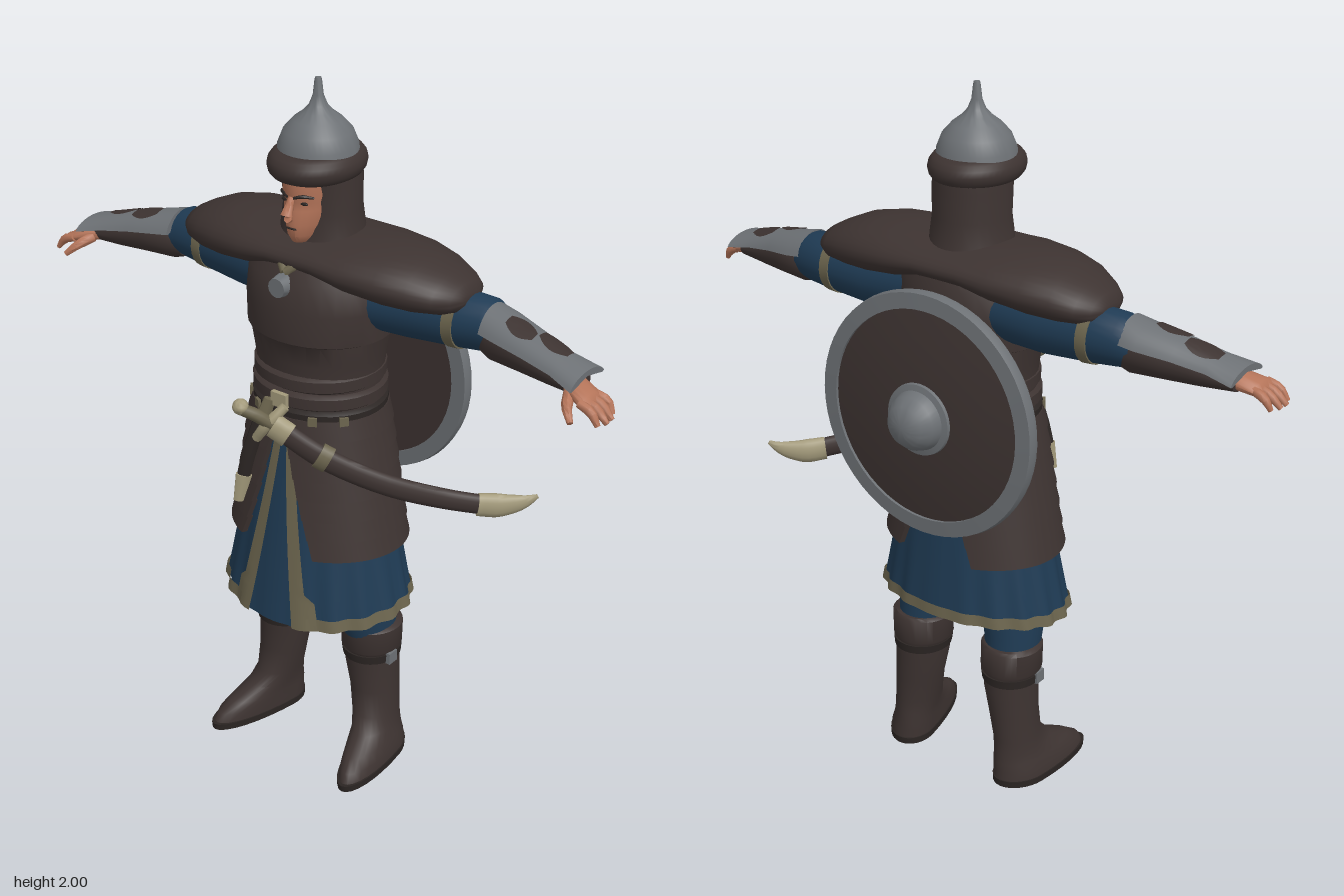
import * as THREE from 'three';
import { toCreasedNormals } from 'three/addons/utils/BufferGeometryUtils.js';

const V = (x, y, z) => new THREE.Vector3(x, y, z);
const PI = Math.PI;
const mix = THREE.MathUtils.lerp;

// Surface through rings of points; closed rings are capped at both ends
function loft(rings, closed = true) {
  const n = rings[0].length, pos = [], idx = [];
  rings.forEach(r => r.forEach(p => pos.push(p.x, p.y, p.z)));
  const cols = closed ? n : n - 1;
  for (let i = 0; i < rings.length - 1; i++) for (let j = 0; j < cols; j++) {
    const a = i * n + j, b = i * n + (j + 1) % n;
    idx.push(a, b, a + n, b, b + n, a + n);
  }
  if (closed) [0, rings.length - 1].forEach(i => {
    const c = V(0, 0, 0), m = pos.length / 3;
    rings[i].forEach(p => c.addScaledVector(p, 1 / n));
    pos.push(c.x, c.y, c.z);
    for (let j = 0; j < n; j++) {
      const a = i * n + j, b = i * n + (j + 1) % n;
      if (i) idx.push(a, b, m); else idx.push(b, a, m);
    }
  });
  const g = new THREE.BufferGeometry();
  g.setAttribute('position', new THREE.Float32BufferAttribute(pos, 3));
  g.setIndex(idx);
  g.computeVertexNormals();
  return g;
}
const turn = (n, f) => Array.from({ length: n }, (_, i) => f(i / n * 2 * PI));
const arc = (n, a, b, f) => Array.from({ length: n + 1 }, (_, i) => f(mix(a, b, i / n)));
const slab = (n, a, b, f, t) => [...arc(n, a, b, v => f(v, t)), ...arc(n, b, a, v => f(v, 0))];

// Stack of level rings [y, halfWidth, front, back, cx, cz, toeOut]
const stack = (rows, n = 32) => loft(rows.map(([y, rx, zf, zb, cx = 0, cz = 0, toe = 0]) =>
  turn(n, a => {
    const c = Math.cos(a), z = c * (c > 0 ? zf : zb);
    return V(cx + rx * Math.sin(a) + toe * z, y, cz + z);
  })));
// Upright rings along x: [x, cy, cz, ry, rz]
const xPoint = ([x, cy, cz, ry, rz], a, t = 0) => V(x, cy - (ry + t) * Math.sin(a), cz + (rz + t) * Math.cos(a));
const along = (rows, n = 24) => loft(rows.map(r => turn(n, a => xPoint(r, a))));
// Tapered tube through points
function limb(pts, radii, steps = 8, n = 12, flat = 1) {
  const curve = new THREE.CatmullRomCurve3(pts.map(p => V(...p)));
  const f = curve.computeFrenetFrames(steps, false);
  return loft(Array.from({ length: steps + 1 }, (_, i) => {
    const t = i / steps, k = t * (radii.length - 1), j = Math.min(Math.floor(k), radii.length - 2);
    const r = mix(radii[j], radii[j + 1], k - j), p = curve.getPointAt(t);
    // broad side kept upright
    const side = V(0, 1, 0).cross(f.tangents[i]).normalize(), up = f.tangents[i].clone().cross(side);
    return turn(n, a => p.clone().addScaledVector(side, r * flat * Math.cos(a)).addScaledVector(up, r * Math.sin(a)));
  }));
}
const lathe = (pts, n = 40) => new THREE.LatheGeometry(pts.map(p => new THREE.Vector2(...p)), n);
const ball = (x, y, z, sx, sy, sz) => new THREE.SphereGeometry(1, 16, 10).scale(sx, sy, sz).translate(x, y, z);

export function createModel() {
  const model = new THREE.Group();
  model.name = 'warrior';
  const mat = (name, color) => {
    const m = new THREE.MeshStandardMaterial({ color, side: THREE.DoubleSide });
    m.name = name;
    return m;
  };
  const leather = mat('brownLeather', 0x3d3331), dark = mat('darkLeather', 0x2b2523), cloth = mat('blueCloth', 0x1f3b54),
    trim = mat('khakiTrim', 0x6c654e), horn = mat('paleHorn', 0xa39a7b), steel = mat('steel', 0x6d7175), skin = mat('skin', 0xb47459);

  function add(name, geo, material, both = false) {
    const put = (g, label) => {
      const m = new THREE.Mesh(toCreasedNormals(g, 0.8), material);
      m.name = label;
      model.add(m);
    };
    if (!both) return put(geo, name);
    const g = geo.clone().scale(-1, 1, 1), ix = g.index.array;
    for (let i = 0; i < ix.length; i += 3) [ix[i], ix[i + 1]] = [ix[i + 1], ix[i]];
    put(geo, name + 'Left');
    put(g, name + 'Right');
  }

  // Helmet, fur brim and hood
  add('helmet', lathe([[0.108, 1.79], [0.104, 1.83], [0.09, 1.865], [0.065, 1.893], [0.04, 1.912], [0.024, 1.93],
    [0.014, 1.955], [0.01, 1.99], [0.008, 2], [0, 2]]).translate(0, 0, 0.01), steel);
  const fur = new THREE.TorusGeometry(0.1, 0.036, 14, 48).rotateX(PI / 2).scale(0.89, 1, 1.05).translate(0, 1.785, 0.013);
  add('furBrim', fur, leather);
  add('hood', stack([[1.55, 0.125, 0.1, 0.14], [1.6, 0.114, 0.088, 0.125], [1.66, 0.106, 0.082, 0.118],
    [1.74, 0.106, 0.09, 0.118], [1.8, 0.1, 0.1, 0.115]]), leather);

  // Face
  add('face', stack([[1.578, 0.02, 0.085, 0.02], [1.59, 0.038, 0.11, 0.02], [1.61, 0.05, 0.122, 0.02], [1.64, 0.062, 0.124, 0.02],
    [1.68, 0.071, 0.122, 0.02], [1.7, 0.073, 0.117, 0.02], [1.72, 0.075, 0.126, 0.02], [1.78, 0.075, 0.12, 0.02]]), skin);
  add('nose', limb([[0, 1.715, 0.118], [0, 1.69, 0.13], [0, 1.668, 0.14], [0, 1.655, 0.125]], [0.008, 0.011, 0.016, 0.008], 6, 8), skin);
  add('eye', ball(0.029, 1.7, 0.107, 0.013, 0.005, 0.005), dark, true);
  add('brow', limb([[0.01, 1.716, 0.125], [0.03, 1.722, 0.117], [0.052, 1.716, 0.094]], [0.004, 0.005, 0.003], 6, 6), dark, true);
  add('mouth', ball(0, 1.631, 0.122, 0.018, 0.003, 0.004), dark);
  add('collar', limb([[0.07, 1.575, 0.09], [0.04, 1.55, 0.12], [0, 1.52, 0.15]], [0.01, 0.012, 0.012], 6, 8), trim, true);

  // Quilted shoulder mantle with clasp
  const half = [[0.45, 1.505, -0.035, 0.015, 0.04], [0.435, 1.508, -0.035, 0.036, 0.075], [0.4, 1.512, -0.032, 0.052, 0.105],
    [0.34, 1.523, -0.026, 0.068, 0.133], [0.26, 1.532, -0.023, 0.075, 0.155], [0.16, 1.54, -0.02, 0.07, 0.168], [0.07, 1.548, -0.02, 0.055, 0.168]];
  add('mantle', along([...half.map(([x, ...r]) => [-x, ...r]), ...half.slice().reverse()], 32), leather);
  add('clasp', new THREE.CylinderGeometry(0.026, 0.032, 0.035, 20).rotateX(PI / 2).translate(0, 1.487, 0.168), steel);

  // Cuirass and waist belts
  add('cuirass', stack([[1.1, 0.183, 0.163, 0.163], [1.2, 0.176, 0.155, 0.16], [1.27, 0.184, 0.165, 0.168], [1.33, 0.195, 0.172, 0.172],
    [1.335, 0.204, 0.178, 0.18], [1.42, 0.205, 0.18, 0.182], [1.5, 0.2, 0.165, 0.178], [1.56, 0.15, 0.12, 0.15], [1.6, 0.09, 0.08, 0.12]]), leather);
  [[1.215, 0.182, leather], [1.165, 0.188, leather], [1.118, 0.19, dark]].forEach(([y, r, m], i) =>
    add('belt' + (i + 1), stack([[y - 0.024, r - 0.012, 0.16, 0.16], [y - 0.015, r, 0.173, 0.172], [y + 0.015, r, 0.173, 0.172],
      [y + 0.024, r - 0.012, 0.16, 0.16]]), m));
  add('beltBuckle', new THREE.BoxGeometry(0.05, 0.04, 0.014).translate(0, 1.165, 0.176), horn);
  [0.5, -0.5, 0.95, -0.95].forEach((a, i) => add('beltStud' + i,
    new THREE.BoxGeometry(0.024, 0.024, 0.01).rotateY(a).translate(0.192 * Math.sin(a), 1.118, 0.175 * Math.cos(a)), trim));

  // Tunic skirt: point at height t (0 top, 1 hem) and angle a
  const skirt = (t, a, off = 0) => {
    const c = Math.cos(a), s = Math.sin(a), fold = 1 + 0.022 * t * t * Math.cos(18 * a) * Math.min(1, 2 * Math.abs(s));
    const rx = mix(0.165, 0.278, t), z = c * (c > 0 ? mix(0.145, 0.232, t) : mix(0.145, 0.195, t));
    return V((rx * fold + off) * s, mix(1.1, 0.525, t) - 0.1 * t * z, z * fold + off * c);
  };
  const skirtBand = (t0, t1, edge, n, rows = 1) => loft(arc(rows, t1, t0, t => arc(n, ...edge(t), a => skirt(t, a, 0.006))), false);
  add('tunicSkirt', loft(arc(14, 1, 0, t => arc(128, 0, 2 * PI, a => skirt(t, a))), false), cloth);
  add('hemTrim', skirtBand(0.945, 1.003, () => [0.42, 2 * PI - 0.42], 112), trim);
  add('slitTrim', skirtBand(0.12, 1.003, t => [0.02 + 0.25 * t, 0.15 + 0.3 * t + (t > 0.85 ? 0.1 : 0)], 4, 20), trim, true);

  // Lamellar side panels, open in front and behind
  const panelRing = (y, step) => {
    const t = (1.12 - y) / 0.4, g = 0.06 + 0.42 * t;
    return slab(28, g, PI - g, (a, th) => {
      const c = Math.cos(a);
      return V((mix(0.176, 0.247, t) + th + step) * Math.sin(a), y, c * (mix(0.16, c > 0 ? 0.202 : 0.187, t) + th + step));
    }, 0.016);
  };
  const rows = [];
  for (let i = 0; i < 7; i++) {
    const y = 0.72 + i * 0.057;
    rows.push(panelRing(y, 0.004), panelRing(y + 0.055, -0.001));
  }
  add('skirtPanel', loft(rows), leather, true);

  // Trousers and boots
  add('trouserLeg', stack([[0.38, 0.072, 0.075, 0.08, 0.155, -0.03], [0.47, 0.082, 0.09, 0.085, 0.15, -0.02],
    [0.6, 0.092, 0.1, 0.095, 0.135, -0.01], [0.85, 0.095, 0.11, 0.11, 0.1, 0]]), cloth, true);
  add('boot', stack([[0.018, 0.066, 0.235, 0.088, 0.197, -0.035, 0.16], [0.045, 0.066, 0.22, 0.086, 0.195, -0.035, 0.16],
    [0.07, 0.062, 0.18, 0.084, 0.19, -0.035, 0.15], [0.1, 0.06, 0.115, 0.08, 0.185, -0.035, 0.1], [0.14, 0.062, 0.08, 0.078, 0.177, -0.035],
    [0.22, 0.068, 0.073, 0.08, 0.168, -0.037], [0.3, 0.076, 0.078, 0.083, 0.158, -0.037], [0.36, 0.079, 0.083, 0.083, 0.155, -0.037]]), leather, true);
  add('sole', stack([[0, 0.068, 0.243, 0.09, 0.197, -0.035, 0.16], [0.02, 0.069, 0.245, 0.091, 0.197, -0.035, 0.16]]), dark, true);
  add('bootCuff', stack([[0.35, 0.08, 0.084, 0.084, 0.156, -0.037], [0.36, 0.086, 0.09, 0.087, 0.156, -0.037],
    [0.43, 0.087, 0.09, 0.087, 0.157, -0.037], [0.438, 0.078, 0.08, 0.08, 0.157, -0.037]]), leather, true);
  add('bootStrap', stack([[0.325, 0.081, 0.086, 0.087, 0.157, -0.037], [0.35, 0.084, 0.089, 0.089, 0.156, -0.037]]), dark, true);
  add('bootBuckle', new THREE.BoxGeometry(0.014, 0.035, 0.035).translate(0.238, 0.34, -0.02), steel, true);

  // Arms
  add('sleeve', along([[0.12, 1.44, -0.03, 0.09, 0.1], [0.28, 1.435, -0.045, 0.085, 0.085], [0.42, 1.438, -0.05, 0.076, 0.074],
    [0.5, 1.442, -0.052, 0.07, 0.068], [0.54, 1.435, -0.045, 0.058, 0.058]]), cloth, true);
  add('sleeveBand', along([[0.4, 1.438, -0.05, 0.081, 0.079], [0.43, 1.438, -0.05, 0.079, 0.077]]), trim, true);
  add('forearm', along([[0.5, 1.42, -0.045, 0.05, 0.05], [0.53, 1.422, -0.042, 0.061, 0.064], [0.62, 1.418, -0.028, 0.057, 0.06],
    [0.71, 1.403, -0.012, 0.043, 0.048], [0.8, 1.392, 0.003, 0.028, 0.042]]), leather, true);
  const guard = [[0.515, 1.425, -0.04, 0.076, 0.068], [0.56, 1.423, -0.036, 0.066, 0.072], [0.65, 1.413, -0.02, 0.056, 0.064],
    [0.74, 1.4, -0.006, 0.044, 0.058], [0.815, 1.39, 0.004, 0.034, 0.076]];
  const guardRing = (r, spread, t) => slab(14, -PI / 2 - spread, -PI / 2 + spread, (a, th) => xPoint(r, a, th), t);
  add('armGuard', loft(guard.map(r => guardRing(r, 1.25, 0.008))), steel, true);
  const at = x => {
    const i = Math.max(1, guard.findIndex(r => r[0] >= x)), p = guard[i - 1], q = guard[i];
    return p.map((v, k) => mix(v, q[k], (x - p[0]) / (q[0] - p[0])));
  };
  // Bare leather patches on the guards
  [[0.575, 0.66, 0.25, 0.42], [0.665, 0.755, -0.15, 0.5]].forEach(([x0, x1, mid, w], k) =>
    add('guardPatch' + k, loft(arc(6, x0, x1, x => {
      const s = w * Math.sin(PI * (0.15 + 0.7 * (x - x0) / (x1 - x0)));
      return arc(8, -PI / 2 + mid - s, -PI / 2 + mid + s, a => xPoint(at(x), a, 0.011));
    }), false), leather, true));

  // Hands
  add('palm', along([[0.77, 1.39, 0.008, 0.022, 0.032], [0.8, 1.386, 0.018, 0.023, 0.042], [0.845, 1.373, 0.034, 0.019, 0.047],
    [0.86, 1.367, 0.038, 0.01, 0.042]], 16), skin, true);
  [[0.888, -0.004], [0.902, 0.022], [0.904, 0.048], [0.893, 0.073]].forEach(([x, z], i) =>
    add('finger' + (i + 1), limb([[0.835, 1.377, z * 0.9 + 0.004], [0.87, 1.364, z], [x, 1.335, z + 0.004]], [0.012, 0.0125, 0.007], 5, 8), skin, true));
  add('thumb', limb([[0.79, 1.38, 0.04], [0.81, 1.363, 0.085], [0.835, 1.338, 0.108]], [0.016, 0.014, 0.008], 5, 8), skin, true);

  // Round shield on the back
  const onBack = g => g.rotateX(-PI / 2 + 0.03).translate(0, 1.155, -0.197);
  add('shieldBoard', onBack(lathe([[0, 0], [0.31, 0], [0.31, 0.02], [0.22, 0.036], [0.12, 0.045], [0, 0.048]], 56)), leather);
  add('shieldRim', onBack(lathe([[0.295, -0.006], [0.338, -0.006], [0.342, 0.01], [0.338, 0.028], [0.295, 0.031], [0.295, -0.006]], 56)), steel);
  add('shieldBoss', onBack(lathe([[0.1, 0.044], [0.098, 0.054], [0.082, 0.058], [0.074, 0.085], [0.055, 0.11], [0.03, 0.122], [0, 0.126]])), steel);

  // Curved sabre in its scabbard
  add('scabbard', limb([[0.03, 1.125, 0.24], [0.15, 1.045, 0.185], [0.28, 0.965, 0.085], [0.39, 0.905, -0.035], [0.47, 0.88, -0.11]],
    [0.03, 0.032, 0.031, 0.03, 0.029], 20, 14, 0.55), leather);
  add('scabbardTip', limb([[0.455, 0.882, -0.097], [0.5, 0.876, -0.14], [0.55, 0.887, -0.18], [0.578, 0.905, -0.2]],
    [0.034, 0.036, 0.025, 0.006], 10, 14, 0.55), horn);
  add('scabbardThroat', limb([[0.03, 1.125, 0.24], [0.07, 1.1, 0.225]], [0.037, 0.037], 3, 14, 0.6), horn);
  add('scabbardBand', limb([[0.14, 1.052, 0.19], [0.165, 1.037, 0.176]], [0.038, 0.038], 3, 14, 0.65), trim);
  add('sabreGrip', limb([[0.03, 1.125, 0.24], [0, 1.16, 0.275], [-0.03, 1.182, 0.305]], [0.016, 0.018, 0.016], 6, 10), trim);
  add('sabrePommel', ball(-0.03, 1.185, 0.3, 0.022, 0.022, 0.022), horn);
  add('sabreGuard', limb([[-0.02, 1.075, 0.25], [0.02, 1.13, 0.25], [0.05, 1.175, 0.215]], [0.013, 0.016, 0.013], 6, 10), horn);

  // Hanging dagger and pouch strap
  add('dagger', limb([[-0.045, 1.12, 0.19], [-0.075, 1, 0.215], [-0.09, 0.92, 0.225]], [0.02, 0.02, 0.019], 6, 10, 0.6), dark);
  add('daggerTip', limb([[-0.088, 0.93, 0.224], [-0.1, 0.85, 0.235]], [0.023, 0.014], 4, 10, 0.6), horn);
  add('daggerHilt', limb([[-0.03, 1.16, 0.18], [-0.045, 1.1, 0.195]], [0.016, 0.021], 4, 10, 0.7), trim);
  return model;
}
